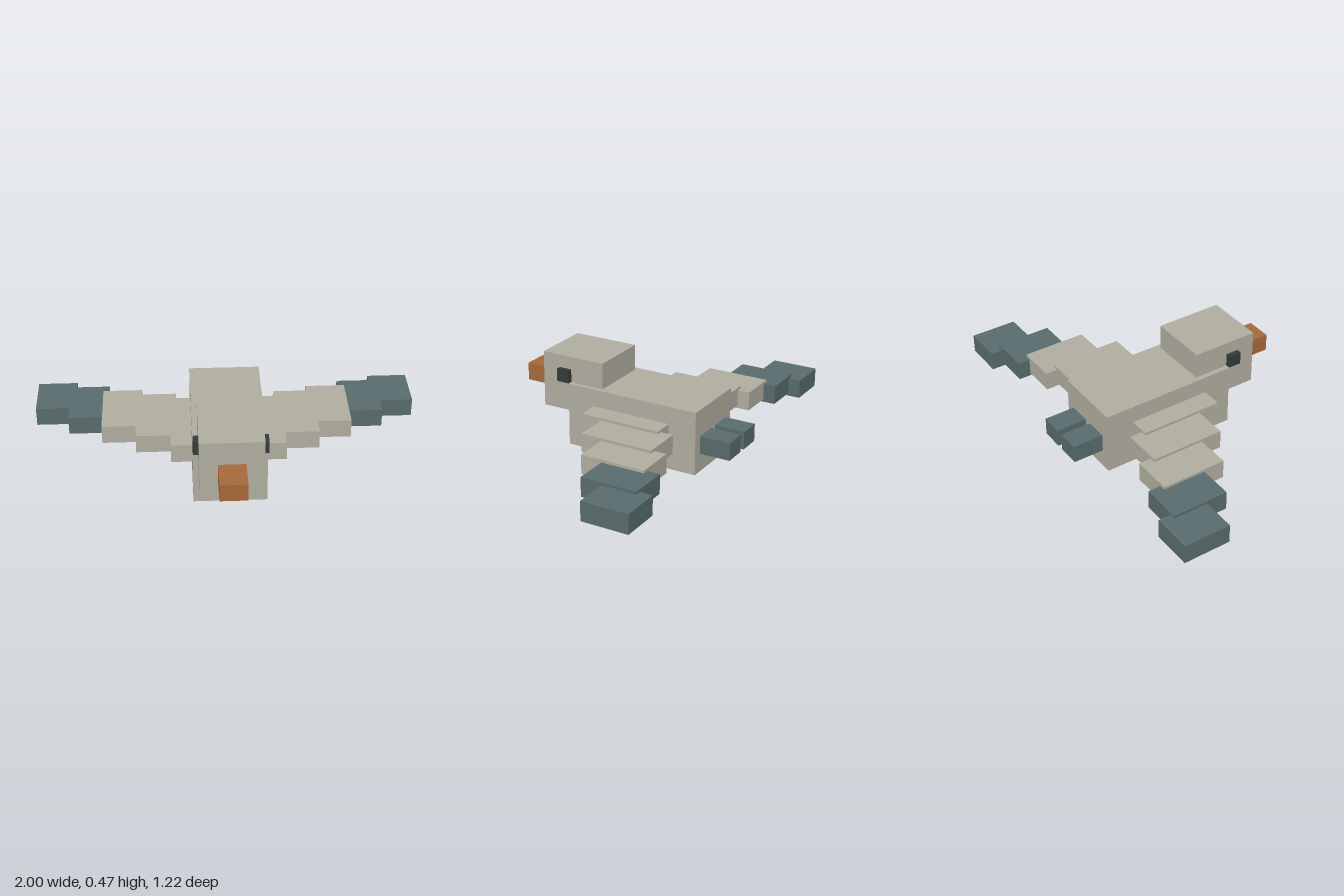
import * as THREE from 'three';

const mat = (name, color) => {
  const m = new THREE.MeshStandardMaterial({ color });
  m.name = name;
  return m;
};

export function createModel() {
  const model = new THREE.Group();
  model.name = 'bird';
  const plumage = mat('warm grey', 0xb0ada0);
  const slate = mat('slate', 0x586b6c);
  const orange = mat('beak orange', 0xa5693a);
  const dark = mat('eye dark', 0x343a3a);

  // Adds a box given its extents along each axis
  const box = (parent, name, material, [x0, x1], [y0, y1], [z0, z1]) => {
    const mesh = new THREE.Mesh(new THREE.BoxGeometry(x1 - x0, y1 - y0, z1 - z0), material);
    mesh.position.set((x0 + x1) / 2, (y0 + y1) / 2, (z0 + z1) / 2);
    mesh.name = name;
    parent.add(mesh);
  };

  box(model, 'body', plumage, [-0.185, 0.185], [0, 0.331], [-0.448, 0.281]);
  box(model, 'head', plumage, [-0.158, 0.158], [0.174, 0.467], [0.095, 0.447]);
  box(model, 'beak', orange, [-0.068, 0.068], [0.249, 0.342], [0.44, 0.61]);

  for (const side of [1, -1]) {
    const label = side > 0 ? 'left' : 'right';
    const span = (a, b) => (side > 0 ? [a, b] : [-b, -a]);

    box(model, label + 'Eye', dark, span(0.12, 0.185), [0.333, 0.4], [0.282, 0.35]);
    box(model, label + 'TailFeather', slate, span(0.018, 0.136), [0.097, 0.19], [-0.61, -0.42]);

    // Wing: five overlapping blocks stepping outward, back and down
    const wing = new THREE.Group();
    wing.name = label + 'Wing';
    model.add(wing);
    for (let i = 0; i < 5; i++) {
      const outer = 0.292 + i * 0.177;
      const top = 0.24 - i * 0.0139;
      box(wing, 'wingSegment' + (i + 1), i < 3 ? plumage : slate,
        span(outer - 0.209, outer), [top - 0.1, top],
        [-0.3 - i * 0.0653, 0.134 - i * 0.112]);
    }
  }
  return model;
}
